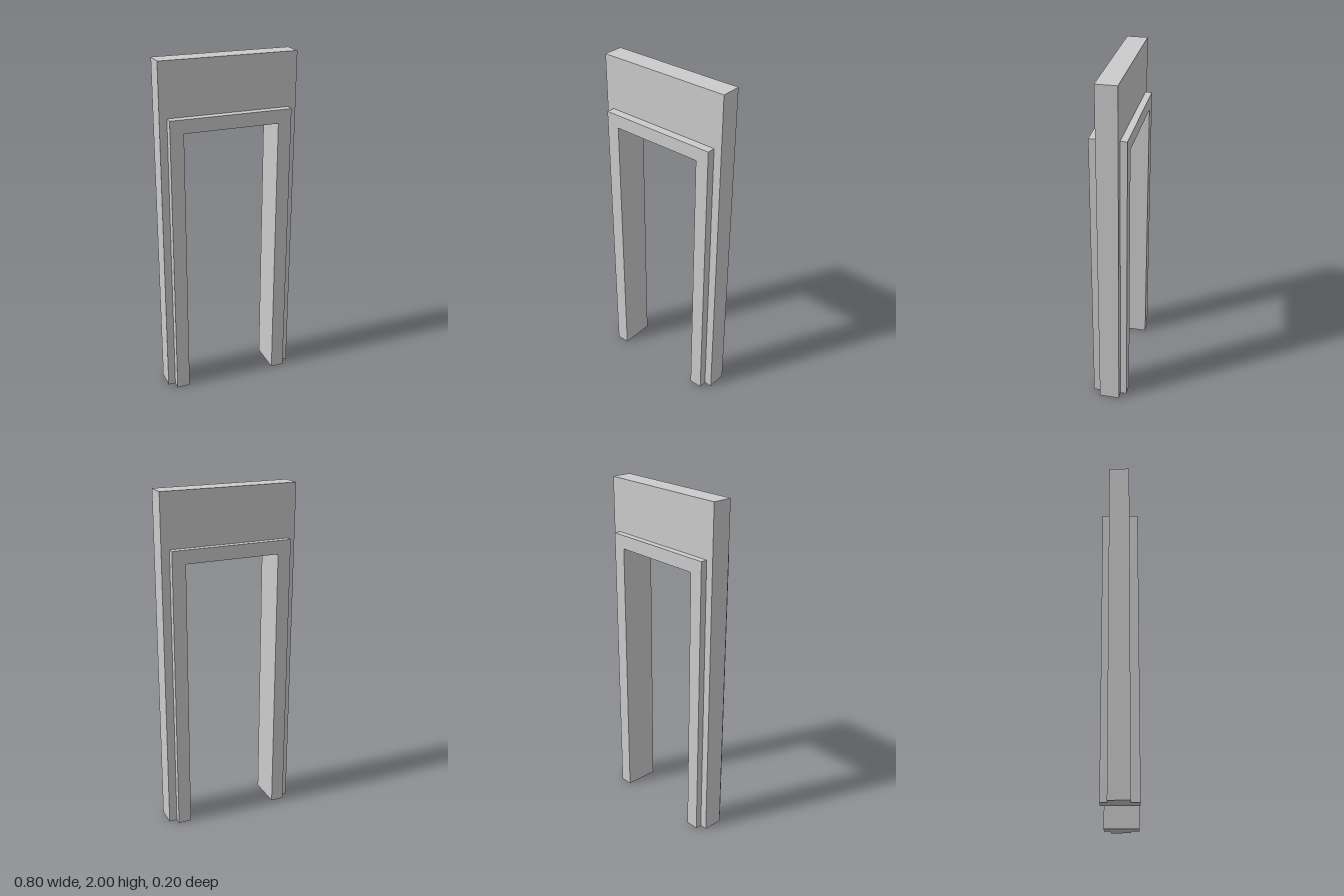
import * as THREE from 'three';

const material = new THREE.MeshStandardMaterial({ color: 0xcccccc, flatShading: true });

// Upside-down U standing on the floor, extruded from zBack to zFront
function arch(name, outer, inner, zBack, zFront) {
  const shape = new THREE.Shape([
    [outer.left, 0], [inner.left, 0], [inner.left, inner.top], [inner.right, inner.top],
    [inner.right, 0], [outer.right, 0], [outer.right, outer.top], [outer.left, outer.top],
  ].map(([x, y]) => new THREE.Vector2(x, y)));
  const geometry = new THREE.ExtrudeGeometry(shape, { depth: zFront - zBack, bevelEnabled: false });
  geometry.translate(0, 0, zBack);
  const mesh = new THREE.Mesh(geometry, material);
  mesh.name = name;
  return mesh;
}

export function createModel() {
  const group = new THREE.Group();
  group.name = 'doorway';

  const wall = { left: -0.4, right: 0.4, top: 2 };
  const frame = { left: -0.357, right: 0.353, top: 1.69 };
  const opening = { left: -0.279, right: 0.275, top: 1.612 };

  // Wall panel around the door frame, set slightly towards the back
  group.add(arch('wallPanel', wall, frame, -0.064, 0.054));
  // Door frame lining the opening and standing proud on both faces
  group.add(arch('doorFrame', frame, opening, -0.102, 0.102));

  return group;
}
